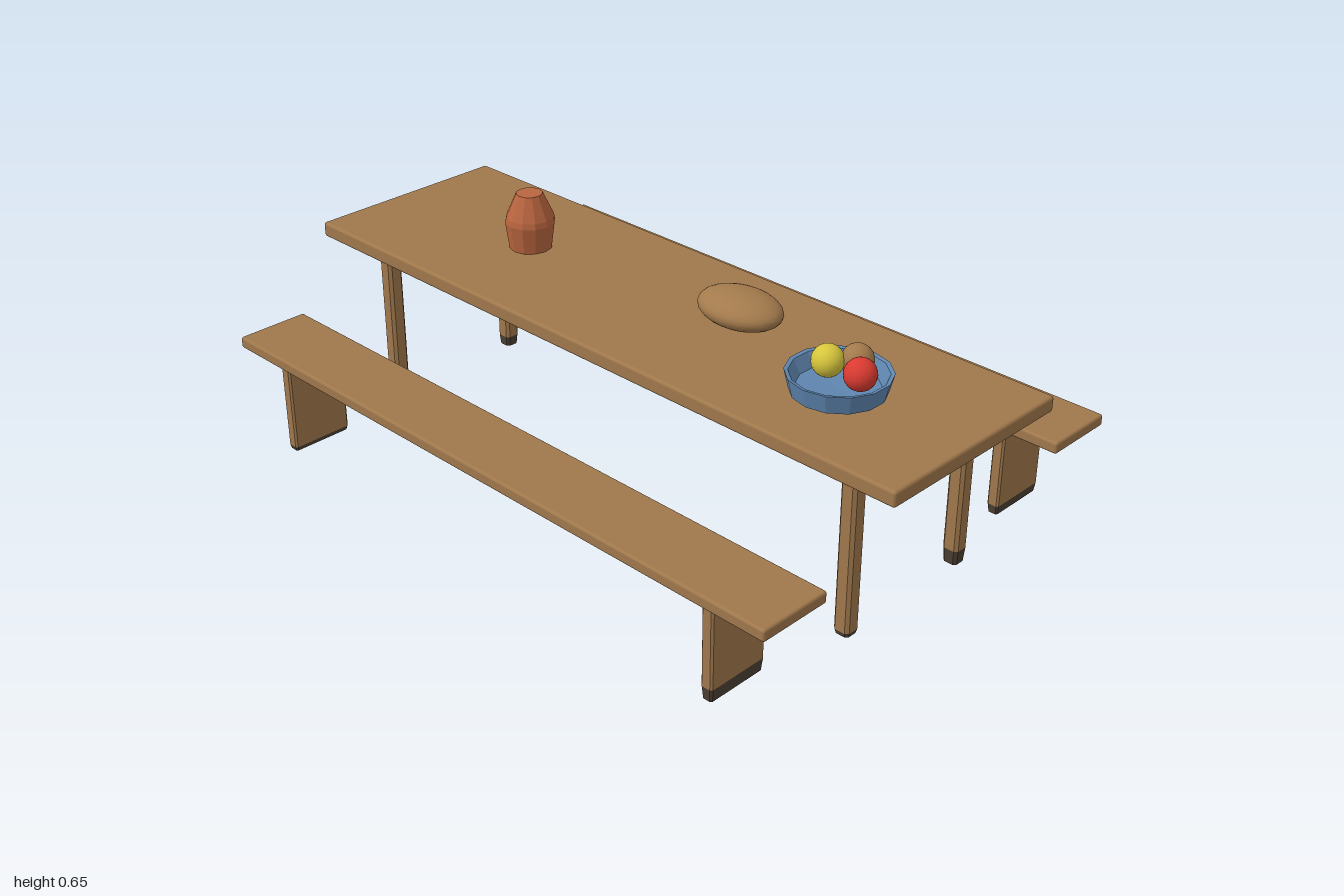
import * as THREE from 'three';
import { RoundedBoxGeometry } from 'three/addons/geometries/RoundedBoxGeometry.js';

const paint = (name, color, extra = {}) => {
  const m = new THREE.MeshStandardMaterial({ color, ...extra });
  m.name = name;
  return m;
};

export function createModel() {
  const wood = paint('wood', 0xa0784c);
  const dirt = paint('dark wood', 0x4c4034);
  const clay = paint('clay', 0xb9653f, { flatShading: true });
  const glaze = paint('blue glaze', 0x5f86b0, { flatShading: true, side: THREE.DoubleSide });
  const crust = paint('crust', 0xa37a4c);
  const yellow = paint('yellow fruit', 0xd6c53c);
  const red = paint('red fruit', 0xd93a30);

  const model = new THREE.Group();
  model.name = 'picnicTable';

  const add = (parent, name, geometry, material, x, y, z) => {
    const mesh = new THREE.Mesh(geometry, material);
    mesh.name = name;
    mesh.position.set(x, y, z);
    parent.add(mesh);
    return mesh;
  };

  // Upright with chamfered corners, standing on its own origin
  const post = (w, d, h, c) => {
    const a = w / 2, b = d / 2;
    const shape = new THREE.Shape([
      [-a + c, -b], [a - c, -b], [a, -b + c], [a, b - c],
      [a - c, b], [-a + c, b], [-a, b - c], [-a, -b + c],
    ].map(([x, y]) => new THREE.Vector2(x, y)));
    return new THREE.ExtrudeGeometry(shape, { depth: h, bevelEnabled: false }).rotateX(-Math.PI / 2);
  };

  // Leg with a darkened foot and a slightly narrowed sole
  const leg = (parent, name, x, z, w, d, top, dark, c) => {
    const group = new THREE.Group();
    group.name = name;
    group.position.set(x, 0, z);
    parent.add(group);
    const foot = post(w, d, dark, c);
    const p = foot.attributes.position;
    for (let i = 0; i < p.count; i++) {
      if (p.getY(i) < 0.001) p.setXYZ(i, p.getX(i) * (1 - 0.006 / w), 0, p.getZ(i) * (1 - 0.006 / d));
    }
    foot.computeVertexNormals();
    add(group, 'foot', foot, dirt, 0, 0, 0);
    add(group, 'shaft', post(w, d, top - dark, c), wood, 0, dark, 0);
  };

  // Table
  const table = new THREE.Group();
  table.name = 'table';
  model.add(table);
  add(table, 'tableTop', new RoundedBoxGeometry(2, 0.042, 0.59, 2, 0.008), wood, 0, 0.475, 0);
  for (const [sx, sz, dark] of [[1, 1, 0.012], [1, -1, 0.04], [-1, 1, 0.034], [-1, -1, 0.03]]) {
    leg(table, 'tableLeg', sx * 0.822, sz * 0.207, 0.045, 0.045, 0.46, dark, 0.008);
  }

  // Benches
  for (const [side, darkRight, darkLeft] of [[1, 0.034, 0.012], [-1, 0.025, 0.03]]) {
    const bench = new THREE.Group();
    bench.name = side > 0 ? 'frontBench' : 'backBench';
    model.add(bench);
    add(bench, 'seat', new RoundedBoxGeometry(1.88, 0.032, 0.204, 2, 0.007), wood, 0, 0.269, side * 0.532);
    leg(bench, 'benchLeg', 0.765, side * 0.532, 0.034, 0.174, 0.258, darkRight, 0.005);
    leg(bench, 'benchLeg', -0.765, side * 0.532, 0.034, 0.174, 0.258, darkLeft, 0.005);
  }

  const lathe = (points, sides) =>
    new THREE.LatheGeometry(points.map(([r, y]) => new THREE.Vector2(r, y)), sides);

  // Clay jug
  add(model, 'jug', lathe([[0, 0], [0.058, 0], [0.068, 0.075], [0.065, 0.09], [0.036, 0.155], [0, 0.155]], 12),
    clay, -0.475, 0.495, -0.004);

  // Loaf of bread
  add(model, 'loaf', new THREE.SphereGeometry(1, 24, 16), crust, 0.232, 0.536, -0.063)
    .scale.set(0.122, 0.045, 0.087);

  // Fruit bowl
  add(model, 'bowl', lathe([[0, 0], [0.06, 0.003], [0.116, 0.016], [0.128, 0.065], [0.118, 0.063], [0.1, 0.028], [0, 0.02]], 14),
    glaze, 0.645, 0.496, 0.056);
  const ball = new THREE.SphereGeometry(0.04, 20, 14);
  add(model, 'yellowFruit', ball, yellow, 0.613, 0.578, 0.06);
  add(model, 'redFruit', ball, red, 0.709, 0.578, 0.06);
  add(model, 'brownFruit', ball, crust, 0.66, 0.578, 0.01);

  return model;
}
